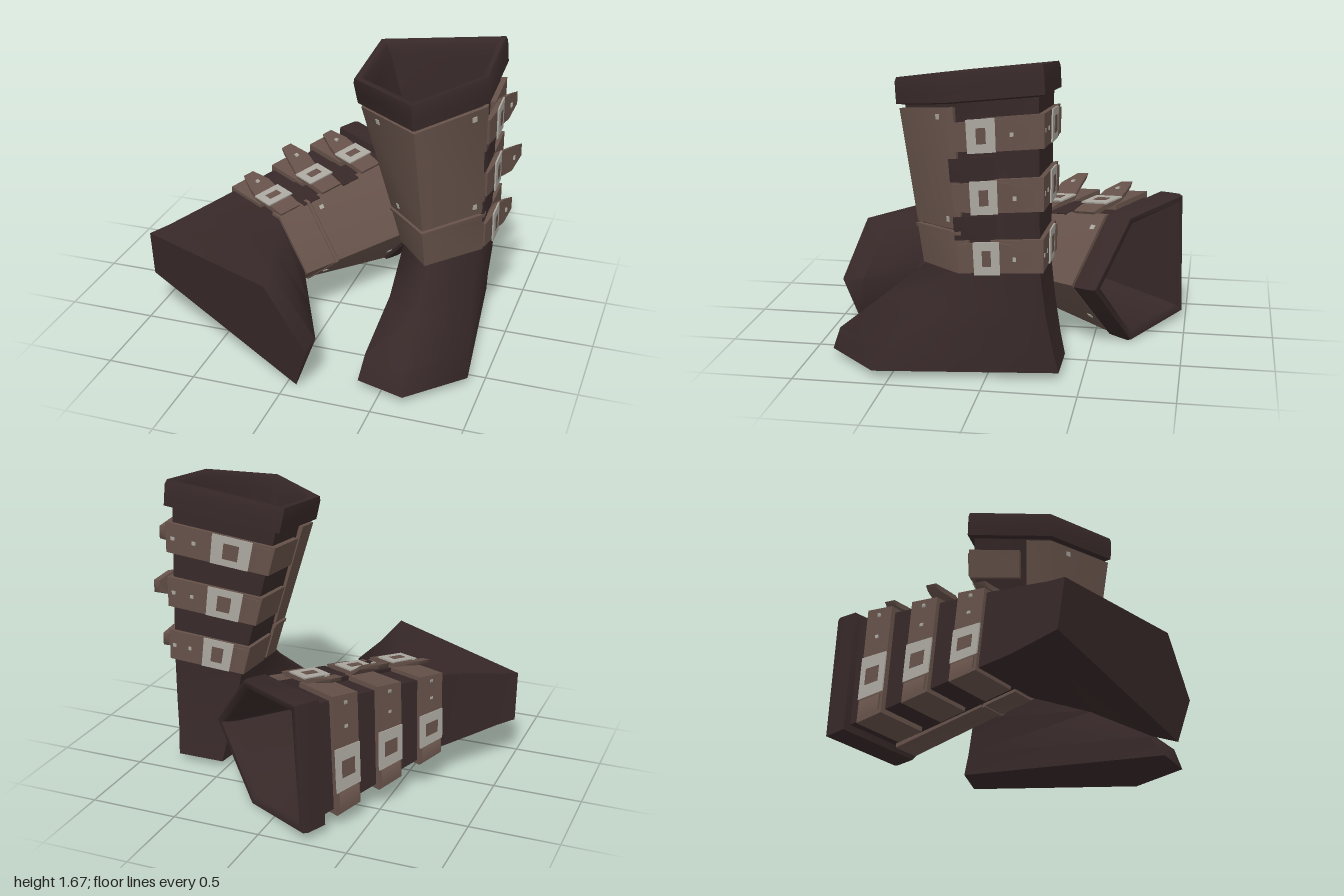
import * as THREE from 'three';
import { toCreasedNormals } from 'three/addons/utils/BufferGeometryUtils.js';

const mat = (name, color) => Object.assign(
  new THREE.MeshStandardMaterial({ color, side: THREE.DoubleSide }), { name });
const DARK = mat('dark leather', 0x372828);
const BROWN = mat('brown leather', 0x655149);
const METAL = mat('worn metal', 0xaaa79f);

// Five-cornered leg section [x, z]: back right, back left, left, shin, right
const LOW = [[0.44, -0.275], [0.84, -0.275], [0.84, 0.12], [0.61, 0.33], [0.44, 0.13]];
const HIGH = [[0.205, -0.27], [0.835, -0.275], [0.845, 0.18], [0.56, 0.47], [0.205, 0.19]];

// Leg section at height h, pushed outward by off and tilted toward the top
function ring(h, off = 0) {
  const t = (h - 0.56) / 0.89, n = LOW.length;
  const p = LOW.map((a, i) => new THREE.Vector2(...a).lerp(new THREE.Vector2(...HIGH[i]), t));
  const normal = (i) => {
    const d = p[(i + 1) % n].clone().sub(p[i % n]).normalize();
    return new THREE.Vector2(d.y, -d.x);
  };
  return p.map((a, i) => {
    const n0 = normal(i + n - 1), n1 = normal(i);
    const m = n0.clone().add(n1).normalize();
    const q = a.clone().addScaledVector(m, off / m.dot(n1));
    const y = h + (0.5 + 0.5 * t) * (0.12 * (q.x - 0.55) - 0.11 * q.y);
    return new THREE.Vector3(q.x, y, q.y);
  });
}

// Point on the leg: u counts corners around, h is height
function onLeg(u, h, off) {
  const r = ring(h, off), v = ((u % 5) + 5) % 5, i = Math.floor(v);
  return r[i].clone().lerp(r[(i + 1) % 5], v - i);
}

// Skin a row of closed rings
function loft(rings, capStart = true, capEnd = true) {
  const n = rings[0].length, last = (rings.length - 1) * n, index = [];
  for (let j = 0; j < rings.length - 1; j++) {
    for (let i = 0; i < n; i++) {
      const a = j * n + i, b = j * n + (i + 1) % n;
      index.push(b, a, a + n, b, a + n, b + n);
    }
  }
  for (let i = 1; i < n - 1; i++) {
    if (capStart) index.push(0, i, i + 1);
    if (capEnd) index.push(last, last + i + 1, last + i);
  }
  const g = new THREE.BufferGeometry().setFromPoints(rings.flat());
  g.setIndex(index);
  return toCreasedNormals(g, 1.15);
}

// Strip of leather around the leg; stations are [u, centre height, half width, offset]
const ribbon = (stations, thick) => loft(stations.map(([u, h, w, off]) => [
  onLeg(u, h + w, off), onLeg(u, h - w, off),
  onLeg(u, h - w, off - thick), onLeg(u, h + w, off - thick)]));

// Even strip that bends at every corner it passes
function band(u0, u1, h0, h1, off, thick = 0.03) {
  const us = [u0];
  for (let k = Math.floor(u0) + 1; k < u1; k++) us.push(k);
  us.push(u1);
  return ribbon(us.map((u) => [u, (h0 + h1) / 2, (h1 - h0) / 2, off]), thick);
}

function makeBoot() {
  const boot = new THREE.Group();
  const add = (name, geometry, material) => {
    const m = new THREE.Mesh(geometry, material);
    m.name = name;
    boot.add(m);
  };
  const level = (y, pts) => pts.map(([x, z]) => new THREE.Vector3(x, y, z));

  // Foot and leg
  add('footAndLeg', loft([
    level(0.04, [[0.52, -0.38], [0.8, -0.38], [0.92, 0.59], [0.64, 0.88], [0.37, 0.8]]),
    level(0.16, [[0.50, -0.352], [0.81, -0.352], [0.9, 0.51], [0.635, 0.84], [0.385, 0.72]]),
    level(0.36, [[0.46, -0.315], [0.835, -0.315], [0.86, 0.31], [0.62, 0.59], [0.43, 0.42]]),
    ring(0.57, 0.012), ring(1.46, 0),
  ], true, false), DARK);

  // Thick cuff with the hollow inside
  add('cuff', loft([
    ring(1.44, -0.005), ring(1.45, 0.035), ring(1.50, 0.032), ring(1.57, 0.027),
    ring(1.595, 0.018), ring(1.595, -0.012), ring(1.57, -0.022), ring(1.5, -0.035),
    ring(0.62, -0.035),
  ], false, true), DARK);

  // Shin guard and ankle band
  add('shinGuard', band(1.93, 4.3, 0.8, 1.425, 0.025), BROWN);
  add('ankleBand', band(1.85, 4.3, 0.57, 0.785, 0.028), BROWN);
  add('ankleTrim', band(1.93, 4.3, 0.772, 0.79, 0.034), BROWN);
  for (const [u, h] of [[2.18, 1.38], [3.7, 1.38], [2.15, 0.85], [3.7, 0.85]]) {
    add('shinStud', band(u - 0.03, u + 0.03, h - 0.014, h + 0.014, 0.031, 0.008), METAL);
  }
  for (const h of [1.105, 0.805]) {
    add('sideTab', band(1.52, 2.02, h - 0.06, h + 0.06, 0.03), DARK);
  }

  // Three buckled straps
  for (const [h, lift] of [[1.275, 0.105], [0.965, 0.14], [0.655, 0.105]]) {
    add('strap', band(-0.62, 1.6, h - 0.085, h + 0.085, 0.032), BROWN);
    add('strapLoop', band(0.04, 0.18, h - 0.07, h + 0.07, 0.042), BROWN);

    // Loose strap end lifting away from the side
    add('strapEnd', ribbon([
      [1.23, h, 0.035, lift], [1.4, h, 0.07, lift * 0.8], [1.5, h, 0.075, 0.062],
      [1.8, h, 0.075, 0.055], [1.98, h, 0.07, 0.04]], 0.028), BROWN);

    // Buckles on the side and back
    add('sideBuckle', band(1.51, 1.78, h - 0.085, h + 0.085, 0.068, 0.009), METAL);
    add('sideBuckleHole', band(1.6, 1.69, h - 0.04, h + 0.04, 0.071, 0.008), BROWN);
    add('backBuckle', band(0.2, 0.56, h - 0.085, h + 0.085, 0.04, 0.009), METAL);
    add('backBuckleHole', band(0.31, 0.45, h - 0.045, h + 0.045, 0.043, 0.008), BROWN);
    for (const u of [0.73, 0.93]) {
      add('strapStud', band(u - 0.015, u + 0.015, h - 0.01, h + 0.01, 0.037, 0.008), METAL);
    }
    add('strapStud', band(1.36, 1.39, h - 0.01, h + 0.01, lift * 0.8 + 0.012, 0.009), METAL);
  }
  return boot;
}

// Mirror a boot across x, keeping faces outward
function mirrored(boot) {
  const copy = boot.clone();
  for (const m of copy.children) {
    const g = m.geometry.clone().scale(-1, 1, 1);
    for (const a of Object.values(g.attributes)) {
      for (let i = 0; i < a.count; i += 3) {
        for (let k = 0; k < 3; k++) {
          const v = a.getComponent(i + 1, k);
          a.setComponent(i + 1, k, a.getComponent(i + 2, k));
          a.setComponent(i + 2, k, v);
        }
      }
    }
    m.geometry = g;
  }
  return copy;
}

export function createModel() {
  const pair = new THREE.Group();
  pair.name = 'pairOfBoots';
  const standing = makeBoot();
  standing.name = 'standingBoot';

  // Second boot tipped over on its side
  const lying = mirrored(standing);
  lying.name = 'lyingBoot';
  const up = new THREE.Vector3(0.44, 0.12, -0.89).normalize();
  const toe = new THREE.Vector3(0.897, -0.075, 0.437);
  toe.addScaledVector(up, -toe.dot(up)).normalize();
  const side = new THREE.Vector3().crossVectors(up, toe);
  lying.quaternion.setFromRotationMatrix(new THREE.Matrix4().makeBasis(side, up, toe));
  lying.position.set(-0.686, -0.307, 0.53);

  pair.add(standing, lying);
  return pair;
}
